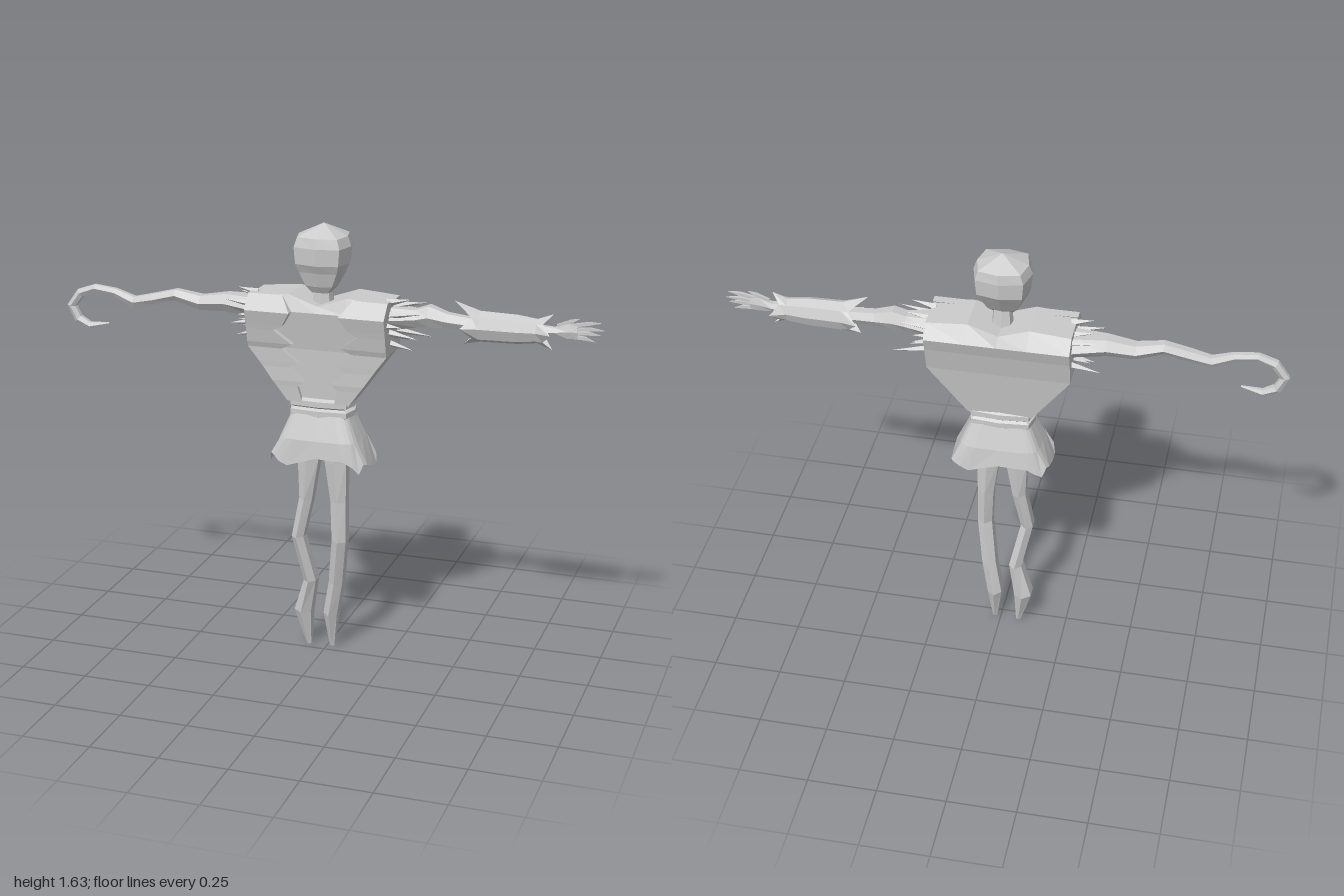
import * as THREE from 'three';

const grey = new THREE.MeshStandardMaterial({ color: 0xcccccc, flatShading: true });
const greyOpen = new THREE.MeshStandardMaterial({ color: 0xcccccc, flatShading: true, side: THREE.DoubleSide });

// Skin a list of equal-length rings of [x, y, z]; closed lofts are turned so they face outward
function loft(name, rings, open = false) {
  const n = rings[0].length, tris = [];
  const quad = (a, b, c, d) => tris.push(a, b, c, a, c, d);
  for (let r = 0; r < rings.length - 1; r++)
    for (let i = 0; i < n; i++) {
      const j = (i + 1) % n;
      quad(rings[r][i], rings[r + 1][i], rings[r + 1][j], rings[r][j]);
    }
  if (!open) {
    const s = rings[0], e = rings[rings.length - 1];
    for (let i = 0; i < n / 2 - 1; i++) {
      quad(s[i], s[i + 1], s[n - 2 - i], s[n - 1 - i]);
      quad(e[n - 1 - i], e[n - 2 - i], e[i + 1], e[i]);
    }
  }
  let volume = 0;
  const v = (p) => new THREE.Vector3(...p);
  for (let i = 0; i < tris.length; i += 3) volume += v(tris[i]).dot(v(tris[i + 1]).cross(v(tris[i + 2])));
  if (volume < 0) tris.reverse();
  const g = new THREE.BufferGeometry();
  g.setAttribute('position', new THREE.Float32BufferAttribute(tris.flat(), 3));
  g.computeVertexNormals();
  const mesh = new THREE.Mesh(g, open ? greyOpen : grey);
  mesh.name = name;
  return mesh;
}

// Horizontal ring, rounder or squarer by power p
function ring(y, rx, zf, zb, n = 8, p = 0.6) {
  const pw = (t) => Math.sign(t) * Math.abs(t) ** p;
  return Array.from({ length: n }, (_, i) => {
    const a = (i / n) * Math.PI * 2;
    return [rx * pw(Math.cos(a)), y, (zf + zb) / 2 + ((zf - zb) / 2) * pw(Math.sin(a))];
  });
}

// Tapered limb along points [x, y, z, radius, depth radius]
function limb(name, pts, n = 6) {
  return loft(name, pts.map(([x, y, z, r, rz = r], k) => {
    const a = pts[Math.max(k - 1, 0)], b = pts[Math.min(k + 1, pts.length - 1)];
    const t = new THREE.Vector2(b[0] - a[0], b[1] - a[1]).normalize();
    return Array.from({ length: n }, (_, i) => {
      const q = ((i + 0.5) / n) * Math.PI * 2, c = Math.cos(q) * r;
      return [x - t.y * c, y + t.x * c, z + Math.sin(q) * rz];
    });
  }));
}

export function createModel() {
  const model = new THREE.Group();
  model.name = 'tatteredFigure';

  // Head and neck
  model.add(loft('head', [
    ring(1.385, 0.035, 0.055, 0.0), ring(1.41, 0.06, 0.07, -0.027), ring(1.46, 0.085, 0.085, -0.06),
    ring(1.49, 0.097, 0.1, -0.08), ring(1.55, 0.103, 0.103, -0.085), ring(1.585, 0.09, 0.095, -0.08),
    ring(1.625, 0.002, 0.002, -0.002)]));
  model.add(loft('neck', [ring(1.32, 0.04, 0.04, -0.03), ring(1.42, 0.032, 0.035, -0.02)]));

  // Torso: y, half width, front z, back z, with a dip at the collar
  const levels = [
    [0.985, 0.115, 0.055, -0.055], [1.18, 0.255, 0.068, -0.086], [1.27, 0.255, 0.085, -0.108],
    [1.32, 0.255, 0.095, -0.125], [1.365, 0.255, 0.072, -0.082]];
  const stations = [1, 0.42, 0, -0.42, -1];
  model.add(loft('torso', levels.map(([y, w, zf, zb], k) => {
    const dip = (s) => (k < 4 ? 0 : s === 0 ? -0.025 : Math.abs(s) < 1 ? 0.012 : 0);
    return [...stations.map((s) => [s * w, y + dip(s), zf]),
      ...[...stations].reverse().map((s) => [s * w, y + dip(s), zb])];
  })));

  // Vest fronts with torn inner edges: y, outer x, inner x, front z
  const vest = [
    [0.985, 0.115, 0.06, 0.07], [1.04, 0.155, 0.075, 0.075], [1.06, 0.17, 0.05, 0.078], [1.11, 0.205, 0.105, 0.08],
    [1.13, 0.219, 0.07, 0.082], [1.18, 0.257, 0.13, 0.086], [1.2, 0.257, 0.09, 0.094], [1.25, 0.257, 0.155, 0.105],
    [1.27, 0.257, 0.12, 0.11], [1.32, 0.257, 0.09, 0.124], [1.372, 0.257, 0.13, 0.075]];
  for (const s of [1, -1])
    model.add(loft('vestFront', vest.map(([y, xo, xi, z]) =>
      [[s * xo, y, z], [s * xi, y, z], [s * xi, y, z - 0.035], [s * xo, y, z - 0.035]])));

  // Belt bands
  for (const y of [0.98, 0.945])
    model.add(loft('beltBand', [
      ring(y - 0.018, 0.105, 0.062, -0.055, 8, 0.4), ring(y - 0.01, 0.12, 0.075, -0.065, 8, 0.4),
      ring(y + 0.01, 0.12, 0.075, -0.065, 8, 0.4), ring(y + 0.018, 0.105, 0.062, -0.055, 8, 0.4)]));

  // Skirt with a ragged hem
  const hem = ring(0.775, 0.185, 0.105, -0.1, 24, 0.4);
  hem.forEach((p, i) => { p[1] += [-0.012, 0.008, 0.012, -0.024][i % 4] - (p[0] > 0.15 ? 0.012 : 0); });
  model.add(loft('skirt', [
    ring(0.94, 0.108, 0.072, -0.06, 24, 0.4), ring(0.85, 0.147, 0.1, -0.09, 24, 0.4), hem], true));

  // Crooked legs ending in points
  model.add(limb('rightLeg', [
    [-0.05, 0.86, 0, 0.05, 0.045], [-0.055, 0.75, 0, 0.045, 0.042], [-0.065, 0.6, 0, 0.028, 0.04],
    [-0.094, 0.45, 0.008, 0.026, 0.04], [-0.056, 0.27, -0.02, 0.027, 0.042],
    [-0.088, 0.14, -0.034, 0.037, 0.046], [-0.069, 0, -0.034, 0.01, 0.01]]));
  model.add(limb('leftLeg', [
    [0.05, 0.86, 0, 0.05, 0.045], [0.05, 0.75, 0, 0.047, 0.042], [0.06, 0.6, 0, 0.034, 0.04],
    [0.065, 0.45, 0.008, 0.031, 0.04], [0.044, 0.27, -0.02, 0.03, 0.042],
    [0.02, 0.14, -0.034, 0.03, 0.046], [0.022, 0.005, -0.034, 0.01, 0.01]]));

  // Right arm, a knotted tendril curling into a hook
  model.add(limb('hookArm', [
    [-0.22, 1.3, -0.01, 0.045, 0.08], [-0.37, 1.31, -0.012, 0.037, 0.045], [-0.47, 1.3, -0.01, 0.03, 0.036],
    [-0.565, 1.322, -0.005, 0.023, 0.028], [-0.65, 1.3, 0, 0.023, 0.026], [-0.73, 1.283, 0, 0.022],
    [-0.805, 1.312, 0, 0.017], [-0.885, 1.322, 0, 0.016], [-0.945, 1.3, 0, 0.018], [-0.982, 1.25, 0, 0.018],
    [-0.957, 1.2, 0, 0.018], [-0.91, 1.177, 0, 0.015], [-0.835, 1.192, 0, 0.004]]));

  // Left arm, bracer with torn cuffs, and hand
  model.add(limb('leftArm', [
    [0.22, 1.305, 0, 0.05, 0.07], [0.34, 1.31, -0.005, 0.036, 0.04], [0.385, 1.32, -0.01, 0.043, 0.04],
    [0.45, 1.31, -0.005, 0.03, 0.032], [0.6, 1.3, 0, 0.025]]));
  const cuff = (x, r, tipX = x, tipR = r) => Array.from({ length: 8 }, (_, i) => {
    const a = (i / 8) * Math.PI * 2, tip = i % 2 === 0;
    const rad = tip ? tipR : r;
    return [tip ? tipX : x, 1.3 + Math.cos(a) * rad, Math.sin(a) * rad * 0.9];
  });
  const start = cuff(0.545, 0.052, 0.51, 0.068);
  start[0] = [0.478, 1.385, 0.005];
  model.add(loft('bracer', [start, cuff(0.57, 0.055), cuff(0.7, 0.052), cuff(0.77, 0.043),
    cuff(0.795, 0.045, 0.825, 0.064)], true));
  model.add(limb('hand', [
    [0.7, 1.3, 0, 0.03], [0.83, 1.303, 0, 0.018], [0.875, 1.308, 0, 0.03, 0.014], [0.91, 1.308, 0, 0.027, 0.01]]));
  const fingers = [[0.905, 1.328, 0.99, 1.345], [0.905, 1.315, 1, 1.32], [0.905, 1.302, 0.99, 1.302],
    [0.9, 1.29, 0.97, 1.278], [0.86, 1.325, 0.915, 1.355]];
  for (const [x, y, tx, ty] of fingers)
    model.add(limb('finger', [[x - 0.02, y, 0, 0.008], [(x + tx) / 2, (y + ty) / 2 + 0.004, 0, 0.008], [tx, ty, 0, 0.001]], 4));

  // Torn sleeve shreds around each shoulder opening
  const up = new THREE.Vector3(0, 1, 0);
  for (const s of [1, -1])
    for (let i = 0; i < 10; i++) {
      const a = (i / 10) * Math.PI * 2 + 0.3, len = [0.09, 0.14, 0.07, 0.12, 0.1][i % 5] * (s > 0 ? 1 : 0.85);
      const dir = new THREE.Vector3(s, Math.cos(a) * 0.22, Math.sin(a) * 0.12).normalize();
      const shred = new THREE.Mesh(new THREE.ConeGeometry(0.015, len, 4), grey);
      shred.name = 'sleeveShred';
      shred.quaternion.setFromUnitVectors(up, dir);
      const rad = i % 2 ? 0.05 : 0.075;
      shred.position.set(s * 0.24, 1.29 + Math.cos(a) * rad, Math.sin(a) * rad).addScaledVector(dir, len / 2);
      model.add(shred);
    }
  return model;
}
